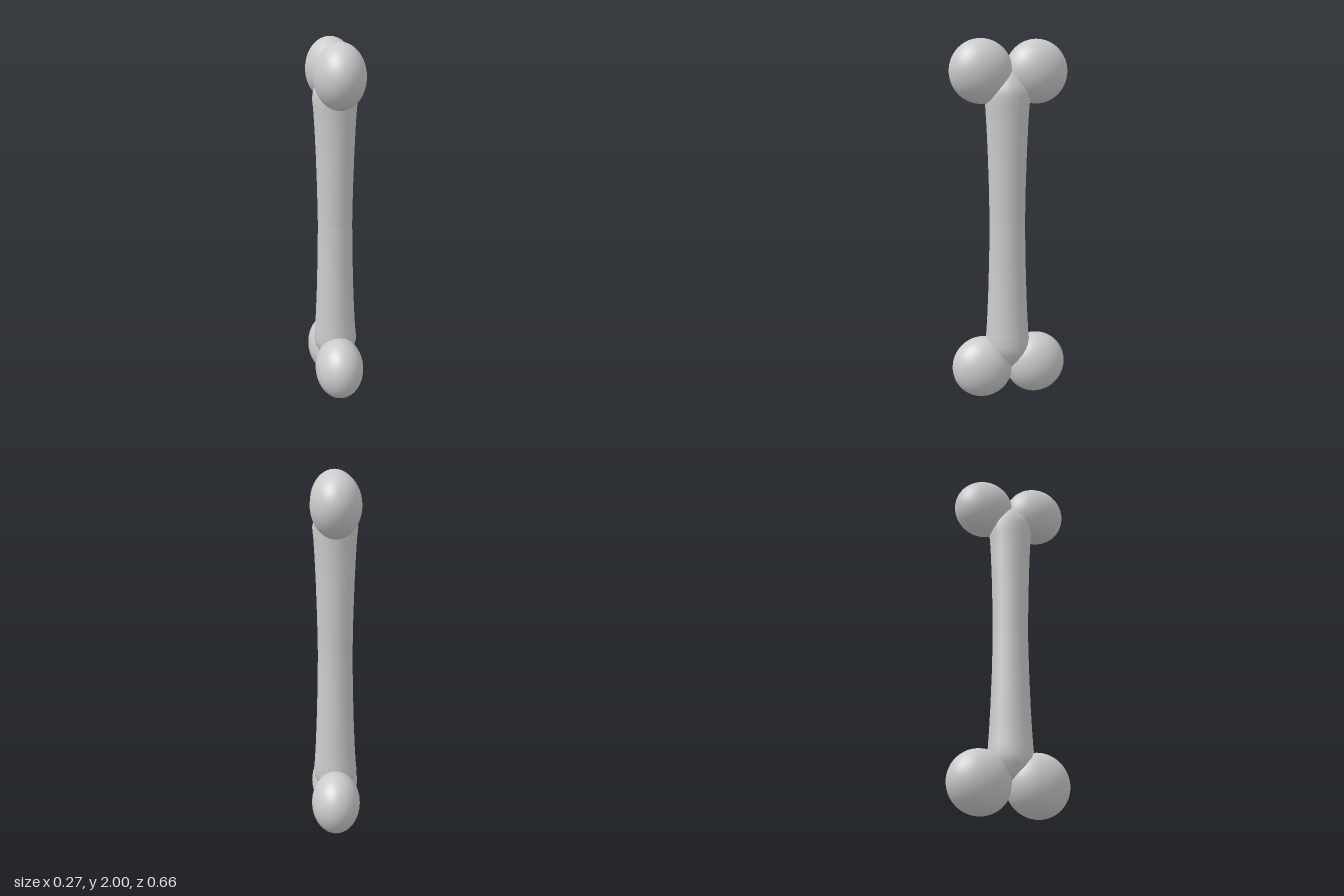
import * as THREE from 'three';

export function createModel() {
  const group = new THREE.Group();
  const material = new THREE.MeshStandardMaterial({ color: 0xcccccc });

  // Half of the shaft: slim waist flaring to a blunt, domed end
  const profile = [
    [0.097, 0], [0.1, 0.2], [0.106, 0.4], [0.112, 0.54], [0.118, 0.64], [0.124, 0.7],
    [0.115, 0.745], [0.09, 0.79], [0.058, 0.83], [0, 0.85],
  ].map(([r, y]) => new THREE.Vector2(r, y));
  const shaftGeometry = new THREE.LatheGeometry(profile, 16);

  // Rounded knob, narrower from side to side
  const knobGeometry = new THREE.SphereGeometry(1, 48, 32);
  knobGeometry.scale(0.135, 0.173, 0.173);

  for (const end of [1, -1]) {
    const name = end > 0 ? 'upper' : 'lower';

    const shaft = new THREE.Mesh(shaftGeometry, material);
    shaft.name = name + 'Shaft';
    shaft.position.set(0, 1, 0.009);
    shaft.scale.z = 1.03;
    if (end < 0) shaft.rotation.x = Math.PI;
    group.add(shaft);

    // Pair of knobs at each end
    for (const side of [1, -1]) {
      const knob = new THREE.Mesh(knobGeometry, material);
      knob.name = name + (side > 0 ? 'FrontKnob' : 'BackKnob');
      knob.position.set(0, 1 + end * 0.827, side * 0.155);
      group.add(knob);
    }
  }
  return group;
}
